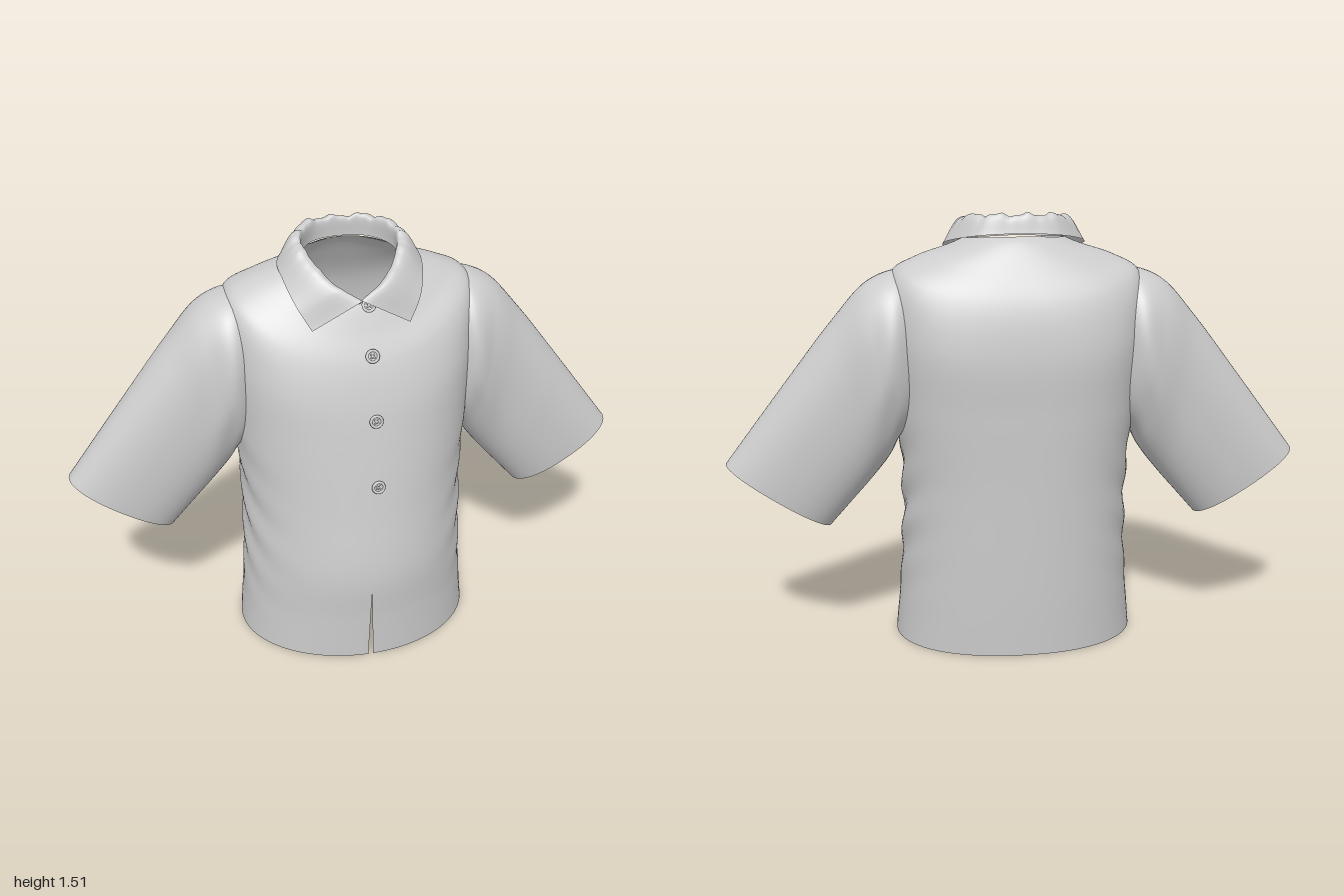
import * as THREE from 'three';
import { mergeVertices } from 'three/addons/utils/BufferGeometryUtils.js';

const V = (x, y, z) => new THREE.Vector3(x, y, z);
const TAU = Math.PI * 2;
// signed power, squares off a circle into a superellipse
const sp = (v, n) => Math.sign(v) * Math.pow(Math.abs(v), 2 / n);

// Smooth skin through a list of cross-sections with equal point counts
function loft(sections, steps, tweak) {
  const cols = sections[0].length;
  const curves = sections[0].map((_, j) => new THREE.CatmullRomCurve3(sections.map((s) => s[j])));
  const pos = [];
  const index = [];
  for (let i = 0; i <= steps; i++) {
    for (let j = 0; j < cols; j++) {
      const p = curves[j].getPoint(i / steps);
      if (tweak) tweak(p, i / steps, j / (cols - 1));
      pos.push(p.x, p.y, p.z);
      if (i < steps && j < cols - 1) {
        const a = i * cols + j;
        const d = a + cols;
        index.push(a, d, a + 1, a + 1, d, d + 1);
      }
    }
  }
  let geo = new THREE.BufferGeometry();
  geo.setAttribute('position', new THREE.Float32BufferAttribute(pos, 3));
  geo.setIndex(index);
  geo = mergeVertices(geo, 1e-4);
  geo.computeVertexNormals();
  return geo;
}

// Torso rings: half width, side y, front y, back y, front z, back z, mid z, front and back roundness
const TORSO = [
  [0.17, 1.42, 1.31, 1.43, 0.115, -0.175, -0.04, 2, 2],
  [0.22, 1.40, 1.28, 1.41, 0.13, -0.2, -0.05, 2, 2],
  [0.34, 1.36, 1.22, 1.34, 0.157, -0.248, -0.07, 2, 2.2],
  [0.42, 1.31, 1.12, 1.22, 0.202, -0.31, -0.07, 2.2, 2.6],
  [0.43, 1.15, 1.0, 1.05, 0.238, -0.34, -0.06, 2.4, 3],
  [0.415, 0.87, 0.85, 0.85, 0.267, -0.336, -0.04, 2.3, 2.8],
  [0.396, 0.6, 0.6, 0.6, 0.307, -0.328, -0.02, 2.1, 2.5],
  [0.4, 0.35, 0.35, 0.35, 0.343, -0.322, 0, 2, 2.4],
  [0.412, 0.17, 0.17, 0.17, 0.336, -0.317, 0, 2, 2.3],
  [0.428, 0, 0, 0, 0.33, -0.31, 0, 2, 2.2],
];

function torsoRing([w, ys, yf, yb, zf, zb, zm, nf, nb]) {
  const ring = [];
  for (let j = 0; j <= 112; j++) {
    const a = (j / 112) * TAU;
    const c = Math.cos(a);
    const n = c > 0 ? nf : nb;
    const x = w * sp(Math.sin(a), n);
    const z = zm + Math.abs(sp(c, n)) * ((c > 0 ? zf : zb) - zm);
    ring.push(V(x, ys + ((c > 0 ? yf : yb) - ys) * c * c, z));
  }
  return ring;
}

// Front slit at the hem, and soft diagonal folds down the sides
function torsoDetail(p, t, u) {
  const side = Math.pow(Math.abs(Math.sin(u * TAU)), 5);
  const fade = Math.exp(-Math.pow((p.y - 0.5) / 0.25, 2));
  const fold = 0.007 * side * fade * Math.sin(p.y * 38 + p.z * 22);
  p.x += Math.sign(p.x) * fold;
  const open = Math.max(0, 1 - p.y / 0.29) * 0.009;
  if (u < 1e-6) p.x += open - 0.004;
  else if (u > 1 - 1e-6) p.x -= open + 0.004;
}

// Sleeve rings: top x, y, bottom x, y, front z, back z
const SLEEVE = [
  [0.33, 1.32, 0.34, 0.8, 0.07, -0.22],
  [0.42, 1.315, 0.395, 0.76, 0.118, -0.27],
  [0.51, 1.275, 0.44, 0.68, 0.1, -0.262],
  [0.62, 1.155, 0.51, 0.59, 0.07, -0.23],
  [0.78, 0.95, 0.58, 0.51, 0.05, -0.205],
  [1.0, 0.66, 0.65, 0.43, 0.03, -0.18],
];

function sleeveRing([tx, ty, bx, by, zf, zb], side) {
  const ring = [];
  for (let j = 0; j <= 64; j++) {
    const b = (j / 64) * TAU * side;
    const c = sp(Math.cos(b), 2.25);
    const s = sp(Math.sin(b), 2.25);
    ring.push(V(
      side * ((tx + bx) / 2 - (c * (bx - tx)) / -2),
      (ty + by) / 2 - (c * (ty - by)) / 2,
      (zf + zb) / 2 + (s * (zf - zb)) / 2,
    ));
  }
  return ring;
}

// Gathers beside the armhole, fading towards the cuff
function sleeveDetail(p, t) {
  const fade = Math.exp(-Math.pow((t - 0.32) / 0.16, 2));
  const low = THREE.MathUtils.clamp((1.2 - p.y) / 0.3, 0, 1);
  const out = Math.sign(p.z + 0.08) * Math.min(1, Math.abs(p.z + 0.08) / 0.1);
  p.z += out * 0.008 * fade * low * Math.sin(Math.abs(p.x) * 42 + p.y * 14);
}

// Collar rows on the left side, each running from front to back
const COLLAR = [
  [[0, 1.305, 0.115], [0.08, 1.335, 0.1], [0.145, 1.4, 0.02], [0.16, 1.42, -0.06], [0.1, 1.43, -0.148], [0, 1.435, -0.166]],
  [[0, 1.325, 0.135], [0.088, 1.385, 0.1], [0.15, 1.455, 0.02], [0.162, 1.488, -0.06], [0.1, 1.498, -0.15], [0, 1.5, -0.168]],
  [[0, 1.333, 0.155], [0.1, 1.387, 0.118], [0.175, 1.452, 0.03], [0.188, 1.483, -0.06], [0.118, 1.497, -0.168], [0, 1.498, -0.188]],
  [[0.165, 1.24, 0.148], [0.207, 1.312, 0.112], [0.236, 1.378, 0.03], [0.237, 1.407, -0.07], [0.14, 1.435, -0.19], [0, 1.442, -0.206]],
];

function collarRow(keys, r) {
  const left = keys.map((k) => V(...k));
  const right = keys.slice(0, -1).reverse().map(([x, y, z]) => V(-x, y, z));
  const pts = new THREE.CatmullRomCurve3([...left, ...right]).getPoints(100);
  // uneven rolled rim
  if (r === 1 || r === 2) {
    pts.forEach((p, j) => {
      const e = Math.sin((j / 100) * Math.PI);
      p.y += e * (0.005 * Math.sin(j * 0.75) + 0.003 * Math.sin(j * 1.7));
    });
  }
  return pts;
}

// Small dished button with a rim and four thread knots
function button(material) {
  const g = new THREE.Group();
  const add = (geo, name, x = 0, y = 0, z = 0) => {
    const m = new THREE.Mesh(geo, material);
    m.name = name;
    m.position.set(x, y, z);
    g.add(m);
  };
  add(new THREE.CylinderGeometry(0.021, 0.019, 0.01, 28), 'buttonDisc');
  add(new THREE.TorusGeometry(0.019, 0.005, 8, 28).rotateX(Math.PI / 2), 'buttonRim', 0, 0.004, 0);
  for (const x of [-1, 1]) {
    for (const z of [-1, 1]) {
      add(new THREE.SphereGeometry(0.0035, 8, 6), 'buttonThread', x * 0.005, 0.005, z * 0.005);
    }
  }
  return g;
}

export function createModel() {
  const shirt = new THREE.Group();
  shirt.name = 'shirt';
  const cloth = new THREE.MeshStandardMaterial({ color: 0xcccccc, side: THREE.DoubleSide });
  cloth.name = 'light grey cloth';

  const add = (geo, name) => {
    const m = new THREE.Mesh(geo, cloth);
    m.name = name;
    shirt.add(m);
  };

  add(loft(TORSO.map(torsoRing), 90, torsoDetail), 'torso');
  for (const side of [1, -1]) {
    add(loft(SLEEVE.map((s) => sleeveRing(s, side)), 60, sleeveDetail), side > 0 ? 'leftSleeve' : 'rightSleeve');
  }
  add(loft(COLLAR.map(collarRow), 24), 'collar');

  // Buttons follow the slope of the front
  const front = new THREE.CatmullRomCurve3(TORSO.map((r) => V(0, r[2], r[4]))).getPoints(400);
  for (const y of [1.3, 1.15, 0.94, 0.705]) {
    const i = Math.max(1, front.findIndex((p) => p.y <= y));
    const d = front[i].clone().sub(front[i - 1]);
    const normal = V(0, d.z, -d.y).normalize();
    const b = button(cloth);
    b.name = 'button';
    b.position.set(0.025, y, front[i].z).addScaledVector(normal, y > 1.2 ? 0.02 : 0.006);
    b.quaternion.setFromUnitVectors(V(0, 1, 0), normal);
    shirt.add(b);
  }
  return shirt;
}
